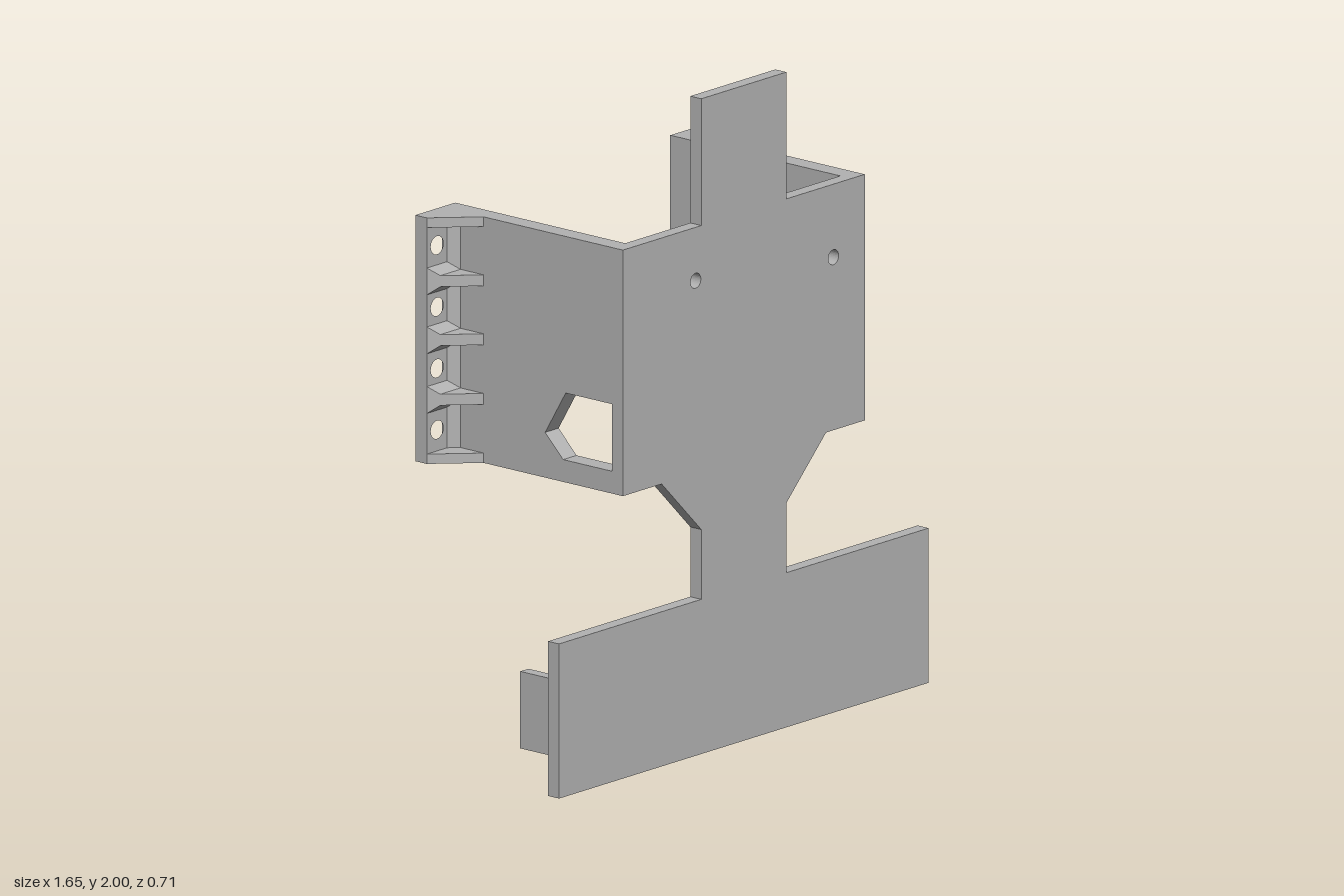
import * as THREE from 'three';
import { ConvexGeometry } from 'three/addons/geometries/ConvexGeometry.js';

const grey = new THREE.MeshStandardMaterial({ color: 0xb2b2b2 });
grey.name = 'plain grey';

function outline(points, holes = []) {
  const shape = new THREE.Shape(points.map(([x, y]) => new THREE.Vector2(x, y)));
  for (const [x, y, r] of holes) {
    shape.holes.push(new THREE.Path().absarc(x, y, r, 0, Math.PI * 2, true));
  }
  return shape;
}

const extrude = (shape, depth) =>
  new THREE.ExtrudeGeometry(shape, { depth, bevelEnabled: false, curveSegments: 16 });

export function createModel() {
  const model = new THREE.Group();
  model.name = 'bracket';

  const add = (name, geometry) => {
    const mesh = new THREE.Mesh(geometry, grey);
    mesh.name = name;
    model.add(mesh);
  };
  const box = (name, x0, x1, y0, y1, z0, z1) =>
    add(name, new THREE.BoxGeometry(Math.abs(x1 - x0), y1 - y0, z1 - z0)
      .translate((x0 + x1) / 2, (y0 + y1) / 2, (z0 + z1) / 2));
  // Plan outline in x and z, extruded upwards from y0 to y1
  const plan = (name, points, y0, y1) =>
    add(name, extrude(outline(points), y1 - y0).rotateX(Math.PI / 2).translate(0, y1, 0));

  const bottom = 0.862, top = 1.613, back = -0.353, front = 0.353, plateBack = 0.31;

  // Front plate: base, neck, body and top tab in one outline
  const half = [[0.825, 0], [0.825, 0.472], [0.19, 0.472], [0.19, 0.685], [0.367, bottom],
    [0.54, bottom], [0.54, top], [0.19, top], [0.19, 2]];
  const mirrored = half.map(([x, y]) => [-x, y]).reverse();
  add('frontPlate', extrude(
    outline([...half, ...mirrored], [[-0.215, 1.45, 0.023], [0.4, 1.39, 0.023]]),
    front - plateBack).translate(0, 0, plateBack));

  // Stiffener on the back of the neck, with four sloping sides
  const stiffener = [];
  for (const s of [-1, 1]) {
    stiffener.push(
      new THREE.Vector3(s * 0.132, 0.285, plateBack), new THREE.Vector3(s * 0.132, 0.812, plateBack),
      new THREE.Vector3(s * 0.09, 0.327, 0.263), new THREE.Vector3(s * 0.09, 0.77, 0.263));
  }
  add('neckStiffener', new ConvexGeometry(stiffener));

  for (const s of [-1, 1]) {
    const side = s > 0 ? 'left' : 'right';

    // Side wall, the right one with a cable window next to the plate
    const wall = [[back, bottom], [plateBack, bottom]];
    if (s < 0) wall.push([plateBack, 0.93], [0.12, 0.93], [0.05, 1.0], [0.13, 1.135], [plateBack, 1.135]);
    wall.push([plateBack, top], [back, top]);
    add(side + 'Wall', extrude(outline(wall), 0.06)
      .rotateY(-Math.PI / 2).translate(s > 0 ? 0.54 : -0.48, 0, 0));

    // Rear flange with four screw holes
    const holes = [0.957, 1.144, 1.332, 1.52].map(y => [s * 0.613, y, 0.028]);
    add(side + 'Flange', extrude(outline([[s * 0.54, bottom], [s * 0.658, bottom],
      [s * 0.658, top], [s * 0.54, top]], holes), 0.045).translate(0, 0, back));

    // Fillet between flange and wall
    plan(side + 'FlangeFillet', [[s * 0.54, -0.308], [s * 0.568, -0.308], [s * 0.54, -0.28]], bottom, top);

    // Triangular ribs, the middle three with widened roots
    const ribs = [[bottom, 0.892], [1.04, 1.074], [1.222, 1.256], [1.402, 1.436], [1.583, top]];
    ribs.forEach(([y0, y1], i) => {
      plan(side + 'FlangeRib', [[s * 0.54, -0.19], [s * 0.658, -0.308], [s * 0.54, -0.308]], y0, y1);
      if (i === 0 || i === 4) return;
      const root = [];
      for (const [z, x, grow] of [[-0.308, 0.658, 0.024], [-0.28, 0.63, 0]]) {
        for (const px of [0.54, x]) {
          root.push(new THREE.Vector3(s * px, y0 - grow, z), new THREE.Vector3(s * px, y1 + grow, z));
        }
      }
      add(side + 'RibRoot', new ConvexGeometry(root));
    });

    // Clips and ledge behind the base
    box(side + 'InnerClip', s * 0.132, s * 0.167, 0.12, 0.355, 0.19, plateBack);
    box(side + 'OuterClip', s * 0.775, s * 0.812, 0.12, 0.355, 0.19, plateBack);
    box(side + 'Ledge', s * 0.353, s * 0.587, 0.013, 0.048, 0.19, plateBack);
  }
  return model;
}
